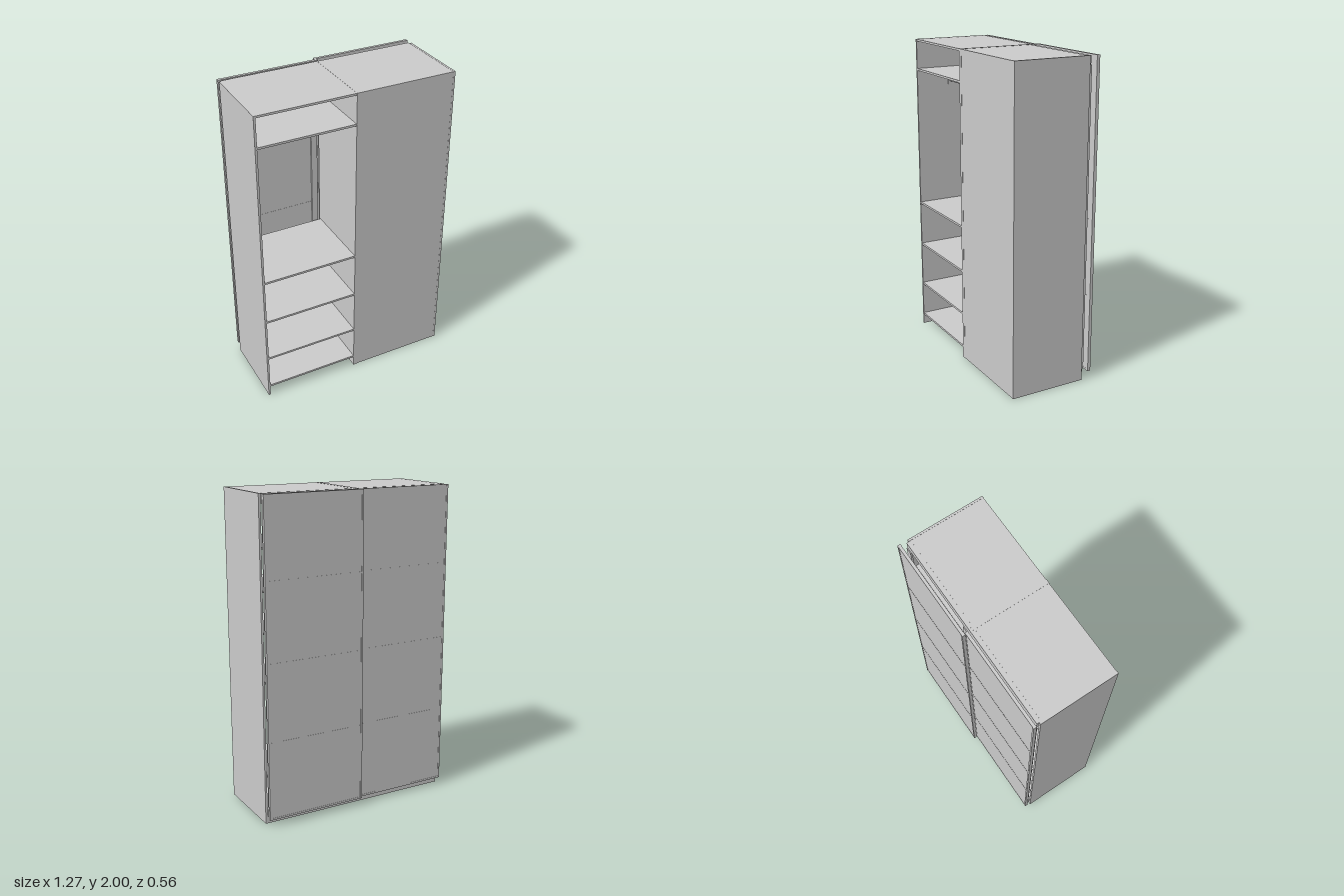
import * as THREE from 'three';

const material = new THREE.MeshStandardMaterial({ color: 0xcccccc });

// Box given by its low and high limits on each axis
function board(parent, name, [x0, x1], [y0, y1], [z0, z1]) {
  const mesh = new THREE.Mesh(new THREE.BoxGeometry(x1 - x0, y1 - y0, z1 - z0), material);
  mesh.position.set((x0 + x1) / 2, (y0 + y1) / 2, (z0 + z1) / 2);
  mesh.name = name;
  parent.add(mesh);
  return mesh;
}

const T = 0.013;            // board thickness
const W = 0.634;            // half width
const DEPTH = [-0.213, 0.278];
const INNER = [-0.2, 0.276];

// One carcass bay between x0 and x1, with shelves at the given heights
function bay(name, x0, x1, shelves) {
  const g = new THREE.Group();
  g.name = name;
  const inside = [x0 + T, x1 - T];
  board(g, 'sidePanel', [x0, x0 + T], [0, 2], DEPTH);
  board(g, 'sidePanel', [x1 - T, x1], [0, 2], DEPTH);
  board(g, 'topPanel', inside, [1.986, 1.999], INNER);
  for (const y of shelves) board(g, 'shelf', inside, [y - T / 2, y + T / 2], INNER);
  board(g, 'plinth', inside, [0, 0.066], [-0.213, -0.2]);
  return g;
}

// Sliding door: stiles, rails and four infill panels
function door(name, x0, x1, z0, z1) {
  const g = new THREE.Group();
  g.name = name;
  const y0 = 0.047, y1 = 2, s = 0.012, rows = 4;
  for (const x of [x0, x1 - s]) board(g, 'doorStile', [x, x + s], [y0, y1], [z0, z1]);
  const step = (y1 - y0 - s) / rows;
  for (let i = 0; i <= rows; i++) {
    const y = y0 + i * step;
    board(g, 'doorRail', [x0 + s, x1 - s], [y, y + s], [z0 + 0.001, z1 - 0.001]);
    if (i < rows) board(g, 'doorPanel', [x0 + s, x1 - s], [y + s, y + step], [z0 + 0.002, z1 - 0.002]);
  }
  return g;
}

export function createModel() {
  const model = new THREE.Group();
  model.name = 'wardrobe';

  const openBay = bay('openBay', -W, 0, [0.073, 0.304, 0.596, 0.893, 1.803]);
  const closedBay = bay('closedBay', 0, W, [0.073, 0.302, 0.893, 1.193, 1.44, 1.69]);
  model.add(openBay, closedBay);

  // Thin sheet closing the front of one bay
  const sheet = new THREE.Mesh(new THREE.PlaneGeometry(W - T, 1.998), material);
  sheet.name = 'coverSheet';
  sheet.position.set(W / 2, 1, 0.277);
  closedBay.add(sheet);

  // Hanging rail with end brackets
  const rail = new THREE.Mesh(new THREE.CylinderGeometry(0.013, 0.013, W - 2 * T, 20), material);
  rail.name = 'hangingRail';
  rail.rotation.z = Math.PI / 2;
  rail.position.set(-W / 2, 1.722, 0.035);
  openBay.add(rail);
  for (const x of [-W + T, -T - 0.004])
    board(openBay, 'railBracket', [x, x + 0.004], [1.692, 1.752], [0.015, 0.055]);

  // Sliding tracks and upright strips behind the doors
  board(model, 'topTrack', [-W + T, W - T], [1.945, 1.998], [-0.227, -0.2]);
  board(model, 'bottomTrack', [-W + T, W - T], [0.05, 0.1], [-0.227, -0.2]);
  for (const x of [-W + T, -0.06, 0.015, W - T - 0.04])
    board(model, 'uprightStrip', [x, x + 0.04], [0.1, 1.945], [-0.233, -0.222]);

  model.add(door('innerDoor', -W, 0, -0.256, -0.236));
  model.add(door('outerDoor', -0.012, W, -0.278, -0.258));
  return model;
}
